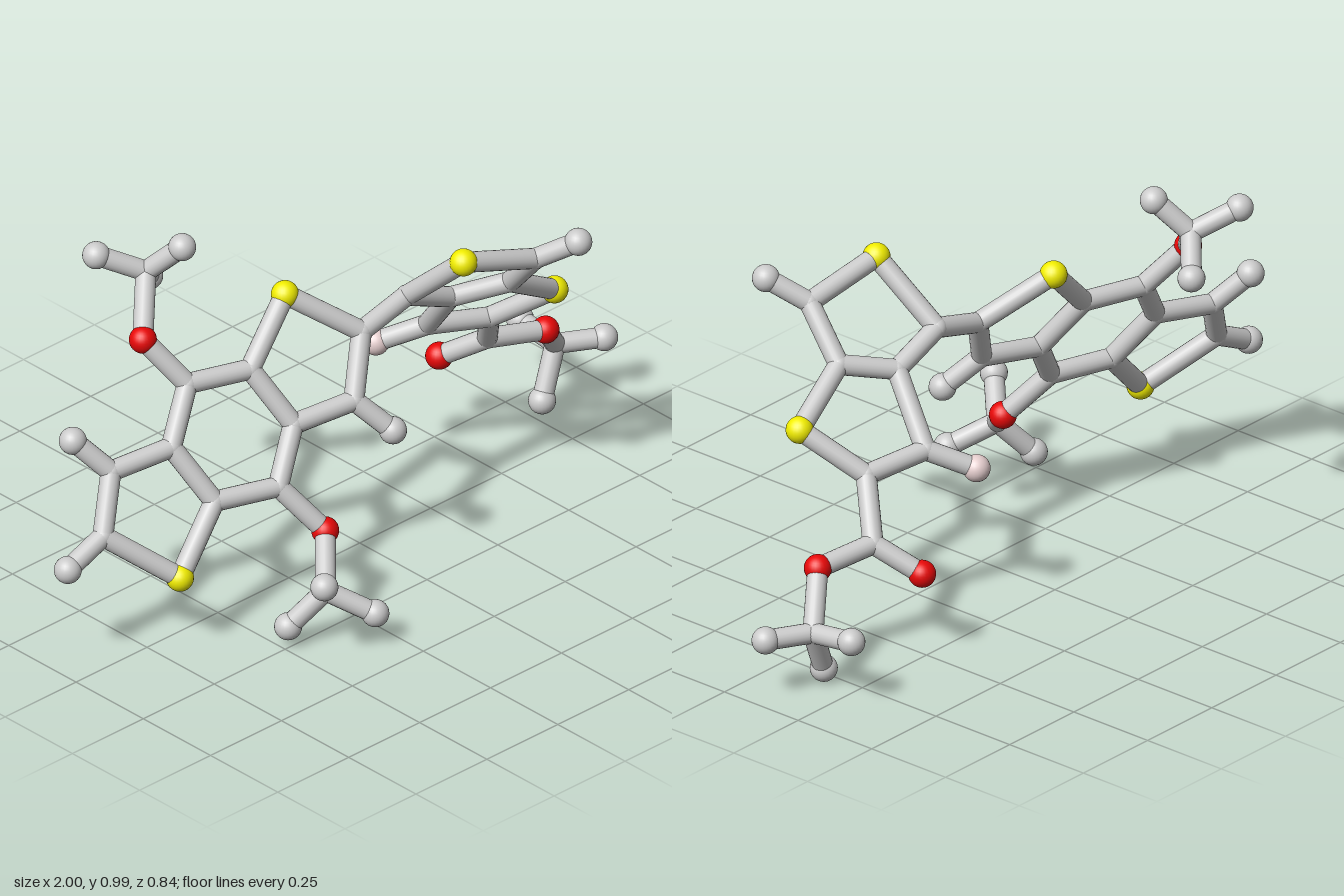
import * as THREE from 'three';

const BALL = 0.036, STICK = 0.027;
const COLORS = { carbon: 0xcccccc, sulfur: 0xf2ee00, oxygen: 0xe80808, fluorine: 0xe6cfcf };

// Flat ring systems: depth follows from x and y
const leftPlane = (x, y) => 0.339 * x - 0.595 * y + 0.438;
const rightPlane = (x, y) => 0.455 * x + 0.987 * y - 0.717;
const onPlane = (plane, x, y) => [x, y, plane(x, y)];
const L = (x, y) => onPlane(leftPlane, x, y);
const R = (x, y) => onPlane(rightPlane, x, y);

// Atoms: [kind, position]; joints are carbons flush with the sticks
const ATOMS = {
  // three fused rings
  s1: ['sulfur', L(-0.70, 0.22)], a1: ['joint', L(-0.85, 0.35)], a2: ['joint', L(-0.77, 0.487)],
  a3: ['joint', L(-0.60, 0.508)], a4: ['joint', L(-0.545, 0.368)], a5: ['joint', L(-0.375, 0.367)],
  a6: ['joint', L(-0.28, 0.495)], a7: ['joint', L(-0.335, 0.637)], a8: ['joint', L(-0.502, 0.638)],
  s2: ['sulfur', L(-0.18, 0.782)], a9: ['joint', L(-0.027, 0.662)], a10: ['joint', L(-0.11, 0.515)],
  m1: ['carbon', L(-0.967, 0.295)], m2: ['carbon', L(-0.835, 0.573)], m3: ['carbon', L(-0.042, 0.43)],
  // upper branch
  o1: ['oxygen', [-0.57, 0.757, -0.205]], b0: ['joint', [-0.46, 0.87, -0.31]],
  b1: ['carbon', [-0.563, 0.927, -0.386]], b2: ['carbon', [-0.408, 0.955, -0.23]],
  b3: ['carbon', [-0.38, 0.792, -0.382]],
  // lower branch
  o2: ['oxygen', [-0.30, 0.247, 0.188]], c0: ['joint', [-0.40, 0.155, 0.295]],
  c1: ['carbon', [-0.484, 0.237, 0.379]], c2: ['carbon', [-0.48, 0.058, 0.24]],
  c3: ['carbon', [-0.31, 0.09, 0.385]],
  // two fused rings
  d1: ['joint', R(0.13, 0.705)], s3: ['sulfur', R(0.165, 0.865)], d2: ['joint', R(0.383, 0.803)],
  d3: ['joint', R(0.405, 0.672)], d4: ['joint', R(0.28, 0.64)], s4: ['sulfur', R(0.587, 0.562)],
  d5: ['joint', R(0.50, 0.45)], d6: ['joint', R(0.33, 0.475)],
  m4: ['carbon', R(0.447, 0.866)], f1: ['fluorine', R(0.24, 0.42)],
  // side chain
  e0: ['joint', [0.58, 0.313, -0.138]], o3: ['oxygen', [0.515, 0.239, -0.248]],
  o4: ['oxygen', [0.743, 0.29, -0.093]], g0: ['joint', [0.85, 0.17, -0.17]],
  g1: ['carbon', [0.963, 0.17, -0.107]], g2: ['carbon', [0.783, 0.038, -0.148]],
  g3: ['carbon', [0.85, 0.186, -0.3]],
};

// Each chain is a run of connected atoms
const CHAINS = {
  tripleRing: ['s1 a1 a2 a3 a4 s1', 'a4 a5 a6 a7 a8 a3', 'a7 s2 a9 a10 a6'],
  tripleRingTips: ['a1 m1', 'a2 m2', 'a10 m3'],
  upperBranch: ['a8 o1 b0 b1', 'b0 b2', 'b0 b3'],
  lowerBranch: ['a5 o2 c0 c1', 'c0 c2', 'c0 c3'],
  ringLink: ['a9 d1'],
  doubleRing: ['d1 s3 d2 d3 d4 d1', 'd3 s4 d5 d6 d4'],
  doubleRingTips: ['d2 m4', 'd6 f1'],
  sideChain: ['d5 e0 o4 g0 g1', 'e0 o3', 'g0 g2', 'g0 g3'],
};

export function createModel() {
  const model = new THREE.Group();
  model.name = 'molecule';
  const materials = {};
  for (const kind in COLORS) materials[kind] = new THREE.MeshStandardMaterial({ color: COLORS[kind] });
  const ballGeometry = new THREE.SphereGeometry(BALL, 24, 16);
  const jointGeometry = new THREE.SphereGeometry(STICK * 1.03, 24, 16);
  const up = new THREE.Vector3(0, 1, 0);

  // Balls and joints
  const atoms = new THREE.Group();
  atoms.name = 'atoms';
  model.add(atoms);
  for (const [kind, position] of Object.values(ATOMS)) {
    const joint = kind === 'joint';
    const mesh = new THREE.Mesh(joint ? jointGeometry : ballGeometry, materials[joint ? 'carbon' : kind]);
    mesh.name = joint ? 'joint' : kind + 'Ball';
    mesh.position.set(...position);
    atoms.add(mesh);
  }

  // Sticks between neighbouring atoms
  for (const part in CHAINS) {
    const group = new THREE.Group();
    group.name = part;
    model.add(group);
    for (const chain of CHAINS[part]) {
      const points = chain.split(' ').map((id) => new THREE.Vector3(...ATOMS[id][1]));
      for (let i = 1; i < points.length; i++) {
        const direction = points[i].clone().sub(points[i - 1]);
        const geometry = new THREE.CylinderGeometry(STICK, STICK, direction.length(), 20, 1, true);
        const stick = new THREE.Mesh(geometry, materials.carbon);
        stick.name = 'stick';
        stick.position.copy(points[i]).add(points[i - 1]).multiplyScalar(0.5);
        stick.quaternion.setFromUnitVectors(up, direction.normalize());
        group.add(stick);
      }
    }
  }
  return model;
}
